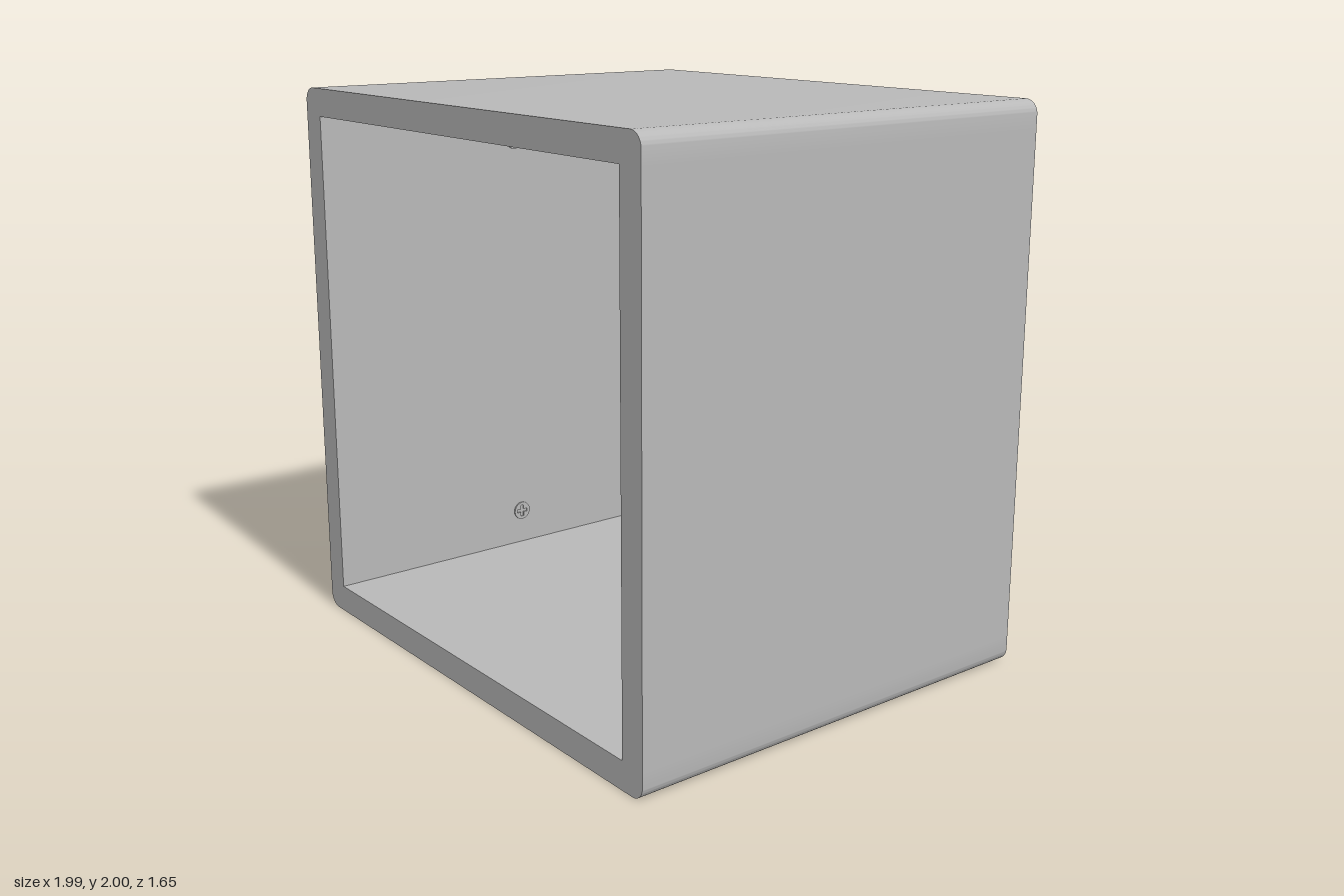
import * as THREE from 'three';
import { toCreasedNormals } from 'three/addons/utils/BufferGeometryUtils.js';

const W = 0.995, D = 0.825, T = 0.1, R = 0.05; // half width, half depth, board thickness, edge radius

export function createModel() {
  const grey = new THREE.MeshStandardMaterial({ color: 0xb8b8b8 });
  grey.name = 'grey';
  const model = new THREE.Group();
  model.name = 'openCube';

  const add = (name, geometry, x, y, z) => {
    const mesh = new THREE.Mesh(geometry, grey);
    mesh.name = name;
    mesh.position.set(x, y, z);
    model.add(mesh);
    return mesh;
  };

  // Board with two rounded outer edges running front to back
  const profile = new THREE.Shape();
  profile.moveTo(-W, 0);
  profile.lineTo(W, 0);
  profile.lineTo(W, T - R);
  profile.absarc(W - R, T - R, R, 0, Math.PI / 2, false);
  profile.lineTo(-W + R, T);
  profile.absarc(-W + R, T - R, R, Math.PI / 2, Math.PI, false);
  const board = toCreasedNormals(
    new THREE.ExtrudeGeometry(profile, { depth: 2 * D, bevelEnabled: false, curveSegments: 10 }).translate(0, 0, -D),
    Math.PI / 6
  );
  add('topPanel', board, 0, 2 - T, 0);
  add('bottomPanel', board, 0, T, 0).rotation.z = Math.PI;

  // Side walls
  const side = new THREE.BoxGeometry(T, 2 - 2 * T, 2 * D);
  add('leftPanel', side, W - T / 2, 1, 0);
  add('rightPanel', side, -W + T / 2, 1, 0);

  // Low rail across the back
  add('backRail', new THREE.BoxGeometry(2 * (W - T), 0.27, 0.095), 0, T + 0.135, -D + 0.0475);

  // Thin round screw head with a cross-shaped recess, facing +z
  const head = new THREE.Shape().absarc(0, 0, 1, 0, Math.PI * 2, false);
  const a = 0.18, b = 0.65;
  head.holes.push(new THREE.Path([
    [a, a], [b, a], [b, -a], [a, -a], [a, -b], [-a, -b],
    [-a, -a], [-b, -a], [-b, a], [-a, a], [-a, b], [a, b]
  ].map(([x, y]) => new THREE.Vector2(x, y))));
  const screw = new THREE.ExtrudeGeometry(head, { depth: 1, bevelEnabled: false, curveSegments: 10 });

  // Four small screws in the top
  for (const x of [-0.835, 0.835]) {
    for (const z of [-0.68, 0.68]) {
      const s = add('topScrew', screw, x, 2 - 0.003, z);
      s.scale.set(0.017, 0.017, 0.003);
      s.rotation.x = -Math.PI / 2;
    }
  }

  // Larger screws inside the walls, near the floor and the ceiling
  for (const sx of [-1, 1]) {
    for (const y of [0.235, 1.765]) {
      const s = add('wallScrew', screw, sx * (W - T), y, 0);
      s.scale.set(0.036, 0.036, 0.006);
      s.rotation.y = -sx * Math.PI / 2;
    }
  }
  return model;
}
